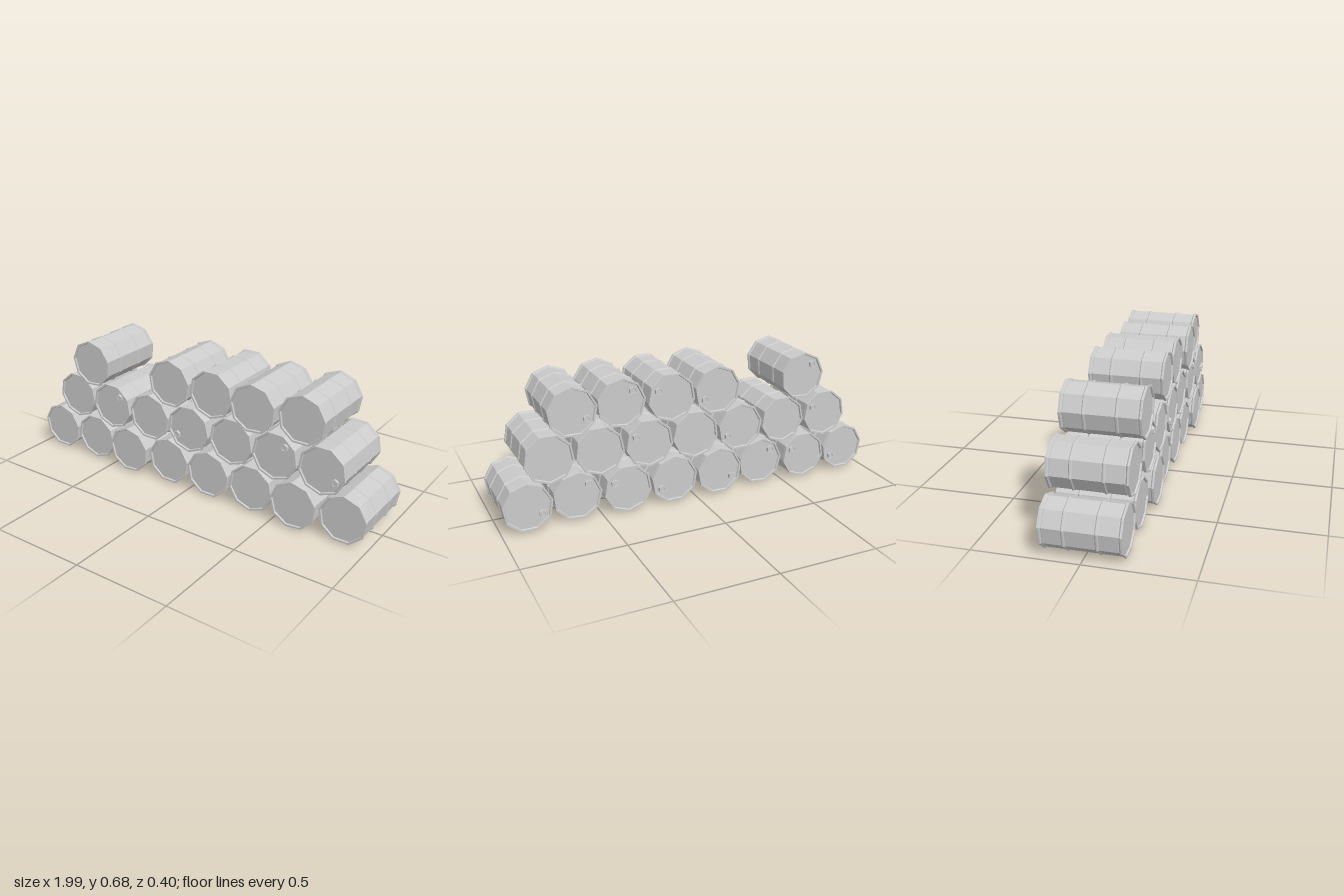
import * as THREE from 'three';

const SIDES = 9;
const rad = THREE.MathUtils.degToRad;

// Drum outline from the centre of one lid to the centre of the other: [radius, along]
function drumProfile() {
  const half = [
    [0.118, 0.066], [0.123, 0.071], [0.123, 0.077], [0.118, 0.082], // rolling hoop
    [0.118, 0.166], [0.1165, 0.17], [0.124, 0.177], [0.123, 0.186], // rim
    [0.114, 0.186], [0.111, 0.178], [0, 0.178],                     // recessed lid
  ];
  const lower = half.map(([r, a]) => [r, -a]).reverse();
  return [...lower, ...half].map(([r, a]) => new THREE.Vector2(r, a));
}

export function createModel() {
  const model = new THREE.Group();
  model.name = 'drumStack';
  const material = new THREE.MeshStandardMaterial({ color: 0xcccccc, flatShading: true });

  // Drum lies along z, with one corner pointing straight down
  const drumGeo = new THREE.LatheGeometry(drumProfile(), SIDES).rotateX(Math.PI / 2);

  // Hexagonal bung with a raised collar and sunken middle
  const bungGeo = new THREE.LatheGeometry(
    [[0.02, 0], [0.019, 0.012], [0.013, 0.012], [0.012, 0.009], [0, 0.009]]
      .map(([r, a]) => new THREE.Vector2(r, a)), 6).rotateX(Math.PI / 2);

  // Place a drum; bungAngle is measured in the xy plane, end is +1 for front, -1 for back
  function addDrum(x, y, bungAngle, end) {
    const drum = new THREE.Group();
    drum.name = 'drum';
    const shift = end > 0 ? -0.003 : bungAngle === 135 ? 0.012 : bungAngle === -30 ? -0.006 : -0.01;
    drum.position.set(x, y, shift);

    const body = new THREE.Mesh(drumGeo, material);
    body.name = 'drumBody';
    body.rotation.z = rad(bungAngle - 150 + (end > 0 ? 20 : 0));

    const bung = new THREE.Mesh(bungGeo, material);
    bung.name = 'bung';
    const a = rad(bungAngle);
    bung.position.set(0.08 * Math.cos(a), 0.08 * Math.sin(a), end * 0.178);
    if (end < 0) bung.rotation.y = Math.PI;

    drum.add(body, bung);
    model.add(drum);
  }

  // Rows from the ground up: [bung angle, end] per drum, null leaves a gap
  const B = -1, F = 1, step = 0.249;
  const rows = [
    { x: -0.873, y: 0.125, drums: [[-30, B], [30, B], [135, B], [210, B], [-30, B], [30, B], [135, B], [210, B]] },
    { x: -0.74, y: 0.344, drums: [[30, B], [48, F], [-30, B], [213, F], [30, B], [48, F], [-30, F]] },
    { x: -0.609, y: 0.559, drums: [[135, B], null, [-30, B], [30, B], [135, B], [210, B]] },
  ];
  for (const { x, y, drums } of rows) {
    drums.forEach((d, i) => { if (d) addDrum(x + i * step, y, d[0], d[1]); });
  }
  return model;
}
